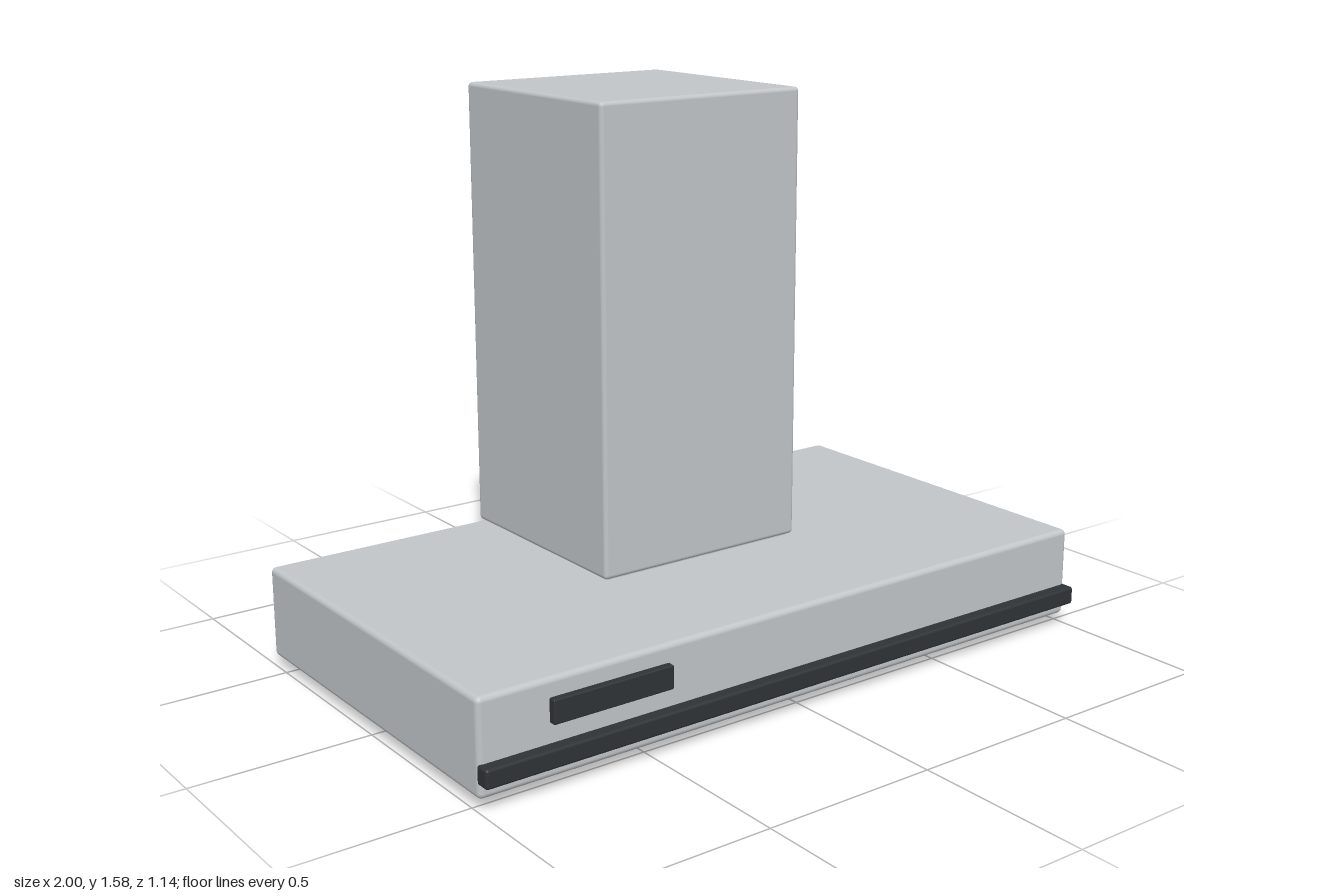
import * as THREE from 'three';
import { RoundedBoxGeometry } from 'three/addons/geometries/RoundedBoxGeometry.js';

const material = (color) => new THREE.MeshStandardMaterial({ color });

// Box given by its [min, max] extents, with softened edges when radius > 0
function block(name, [x0, x1], [y0, y1], [z0, z1], radius, mat) {
  const size = [x1 - x0, y1 - y0, z1 - z0];
  const geometry = radius > 0
    ? new RoundedBoxGeometry(...size, 3, radius)
    : new THREE.BoxGeometry(...size);
  const mesh = new THREE.Mesh(geometry, mat);
  mesh.name = name;
  mesh.position.set((x0 + x1) / 2, (y0 + y1) / 2, (z0 + z1) / 2);
  return mesh;
}

export function createModel() {
  const steel = material(0xc2c6c9);
  const dark = material(0x303336);
  const black = material(0x26282a);
  const warm = material(0xf0e0bc);

  const hood = new THREE.Group();
  hood.name = 'cookerHood';
  hood.add(
    // Canopy and chimney, flush at the back
    block('canopy', [-1, 1], [0.03, 0.29], [-0.57, 0.535], 0.015, steel),
    block('chimney', [-0.33, 0.33], [0.295, 1.58], [-0.57, 0.09], 0.012, steel),
    // Shadow gap joint inside the chimney foot
    block('chimneyJoint', [-0.315, 0.315], [0.28, 0.31], [-0.555, 0.075], 0, steel),
    // Front rail and control panel
    block('frontRail', [-1, 1], [0.07, 0.122], [0.525, 0.57], 0.008, dark),
    block('controlPanel', [-0.8, -0.445], [0.175, 0.24], [0.525, 0.555], 0.004, dark),
    // Underside filter and light strip
    block('filter', [-0.93, 0.93], [0.012, 0.04], [-0.5, 0.475], 0, black),
    block('lightStrip', [-0.555, 0.555], [0, 0.02], [0.21, 0.3], 0, warm),
  );
  return hood;
}
